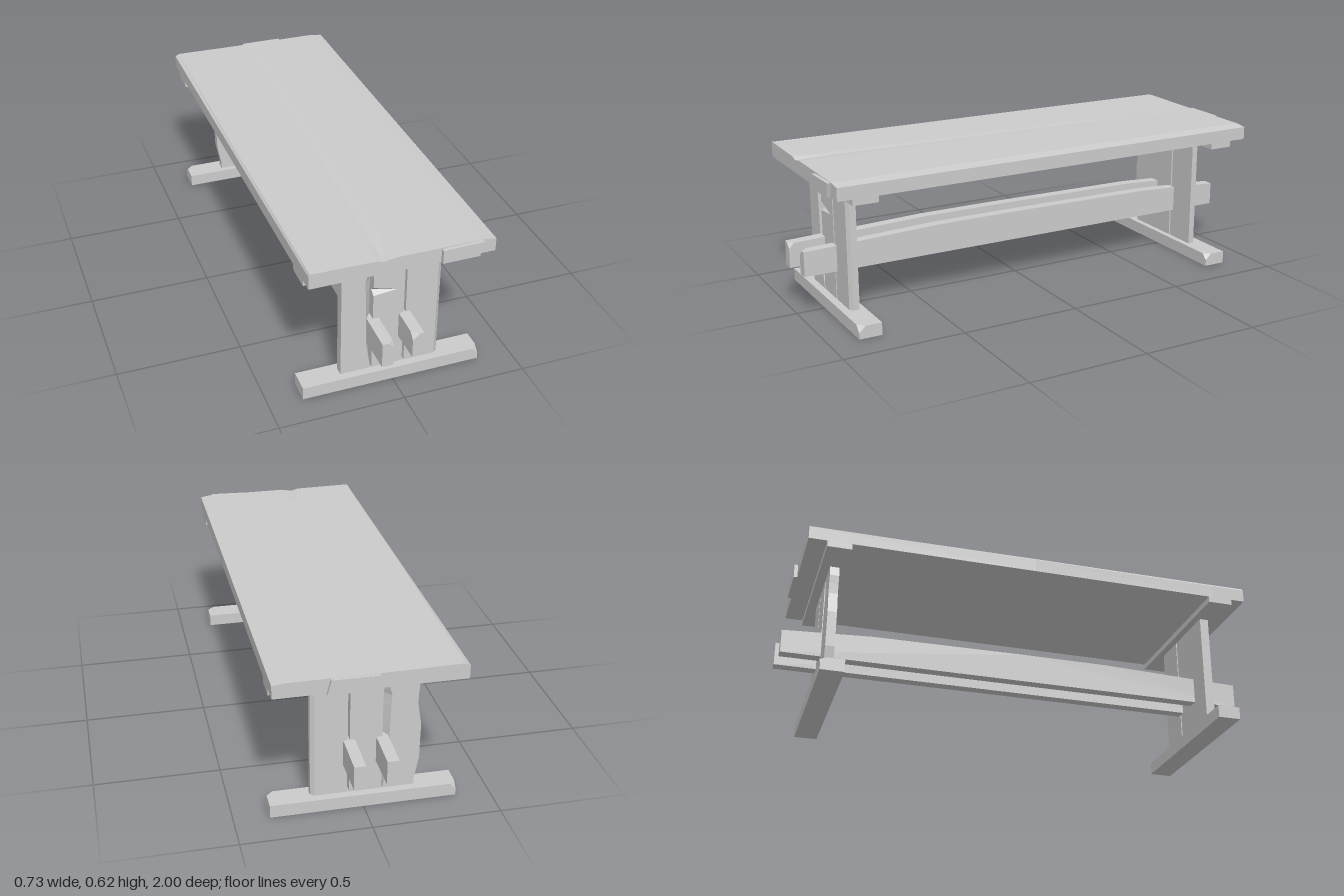
import * as THREE from 'three';
import { ConvexGeometry } from 'three/addons/geometries/ConvexGeometry.js';

const wood = new THREE.MeshStandardMaterial({ color: 0xcccccc, flatShading: true });

function part(group, name, geometry) {
  const mesh = new THREE.Mesh(geometry, wood);
  mesh.name = name;
  group.add(mesh);
  return mesh;
}

// Convex timber from its corner points
const hull = (pts) => new ConvexGeometry(pts.map((p) => new THREE.Vector3(...p)));

// Solid skinned over rings of equal point count, faces turned outward
function loft(rings) {
  const tris = [];
  const n = rings[0].length;
  for (let i = 0; i < rings.length - 1; i++) {
    for (let j = 0; j < n; j++) {
      const k = (j + 1) % n;
      const a = rings[i][j], b = rings[i][k], c = rings[i + 1][k], d = rings[i + 1][j];
      tris.push([a, b, c], [a, c, d]);
    }
  }
  const last = rings[rings.length - 1];
  for (let j = 1; j < n - 1; j++) {
    tris.push([rings[0][0], rings[0][j + 1], rings[0][j]], [last[0], last[j], last[j + 1]]);
  }
  let volume = 0;
  for (const t of tris) {
    const [a, b, c] = t.map((p) => new THREE.Vector3(...p));
    volume += a.dot(b.cross(c));
  }
  if (volume < 0) tris.forEach((t) => t.reverse());
  const geometry = new THREE.BufferGeometry();
  geometry.setAttribute('position', new THREE.Float32BufferAttribute(tris.flat(2), 3));
  geometry.computeVertexNormals();
  return geometry;
}

// Box given by its limits
function block(x0, x1, y0, y1, z0, z1) {
  return new THREE.BoxGeometry(x1 - x0, y1 - y0, z1 - z0)
    .translate((x0 + x1) / 2, (y0 + y1) / 2, (z0 + z1) / 2);
}

// Box with selected top corners knocked off; chips are [xSide, zSide] pairs
function chippedBlock(x0, x1, y0, y1, z0, z1, chips, size) {
  const pts = [];
  for (const sx of [-1, 1]) for (const sz of [-1, 1]) {
    const x = sx < 0 ? x0 : x1, z = sz < 0 ? z0 : z1;
    pts.push([x, y0, z]);
    if (chips.some(([a, b]) => a === sx && b === sz)) {
      pts.push([x - sx * size, y1, z], [x, y1 - size, z], [x, y1, z - sz * size]);
    } else pts.push([x, y1, z]);
  }
  return hull(pts);
}

// Tabletop: worn left edge, dropped right edge and a dent that fades to the back
function addTabletop(group) {
  const stations = [
    [-0.94, -0.02, 0, -0.347], [0, -0.05, 0.002, -0.355],
    [0.8, -0.075, 0.004, -0.358], [0.945, -0.08, 0.009, -0.36],
  ];
  part(group, 'tabletop', loft(stations.map(([z, dentX, dent, left]) => [
    [-0.365, 0.558, z], [0.362, 0.558, z], [0.362, 0.611, z], [0.31, 0.618, z],
    [dentX + 0.045, 0.618, z], [dentX, 0.618 - dent, z], [dentX - 0.03, 0.618, z],
    [left, 0.621, z], [-0.365, 0.612, z],
  ])));
  // Board ends standing slightly proud of the top
  part(group, 'frontBoardEnd', loft([0.93, 0.96].map((z) => [
    [0.145, 0.558, z], [0.293, 0.558, z], [0.308, 0.617, z], [0.145, 0.613, z],
  ])));
  part(group, 'backBoardEnd', loft([-0.93, -0.955].map((z) => [
    [-0.03, 0.558, z], [0.165, 0.558, z], [0.15, 0.617, z], [-0.03, 0.617, z],
  ])));
}

// Three upright planks; s is +1 for the front leg, -1 for the back leg
function addLeg(group, s) {
  const name = s > 0 ? 'front' : 'back';
  const inner = s > 0 ? 0.81 : 0.79, outer = inner + 0.038;
  const leg = new THREE.Group();
  leg.name = name + 'Leg';
  group.add(leg);

  // Outer-left plank: height, left edge on the back leg, split edge
  const rows = [
    [0.052, -0.205, -0.08], [0.08, -0.205, -0.085], [0.17, -0.222, -0.1],
    [0.32, -0.225, -0.104], [0.41, -0.21, -0.107], [0.455, -0.212, -0.11],
    [0.49, -0.215, -0.1], [0.533, -0.205, -0.085],
  ];
  part(leg, name + 'RightPlank', loft(rows.map(([y, bulge, split]) => {
    const left = s > 0 ? -0.203 : bulge;
    return [[left, y, s * inner], [-0.076, y, s * inner],
      [split, y, s * outer], [left, y, s * outer]];
  })));

  // Middle plank with a splinter notch in the outer face of the front leg
  const depth = s > 0 ? 0.025 : 0;
  const notch = [[0.052, 0.052, 0], [0.39, 0.4, 0], [0.406, 0.402, depth],
    [0.428, 0.404, 0], [0.533, 0.533, 0]];
  part(leg, name + 'MiddlePlank', loft(notch.map(([y, tipY, d]) => [
    [-0.076, y, s * inner], [0.05, tipY, s * inner], [0.05, tipY, s * outer],
    [0.02, tipY, s * outer], [-0.076, y, s * (outer - d)],
  ])));

  // Left plank with an eased outer edge
  part(leg, name + 'LeftPlank', loft([0.052, 0.533].map((y) => [
    [0.058, y, s * inner], [0.2, y, s * inner], [0.2, y, s * (outer - 0.012)],
    [0.185, y, s * outer], [0.058, y, s * outer],
  ])));
}

// Long stretcher with a bowed top and one chipped front corner
function addStretcher(group, name, x0, x1, z0, z1, chipSide, chip) {
  const bow = [[z0, 0.274], [-0.62, 0.294], [0.05, 0.3], [0.4, 0.3], [0.8, 0.285], [z1, 0.28]];
  const pts = [];
  for (const side of [-1, 1]) {
    const x = side < 0 ? x0 : x1;
    pts.push([x, 0.177, z0], [x, 0.177, z1]);
    bow.forEach(([z, y], i) => {
      if (i === bow.length - 1 && side === chipSide) {
        pts.push([x - side * chip, y, z], [x, y - chip, z], [x, y, z - chip]);
      } else pts.push([x, y, z]);
    });
  }
  part(group, name, hull(pts));
}

export function createModel() {
  const table = new THREE.Group();
  table.name = 'trestleTable';

  addTabletop(table);
  addLeg(table, 1);
  addLeg(table, -1);

  // Cleats under the top and feet on the ground
  part(table, 'frontCleat', block(-0.365, 0.362, 0.533, 0.558, 0.78, 0.885));
  part(table, 'backCleat', block(-0.365, 0.362, 0.533, 0.558, -0.865, -0.765));
  part(table, 'frontFoot',
    chippedBlock(-0.365, 0.362, 0, 0.052, 0.785, 0.88, [[1, 1]], 0.027));
  part(table, 'backFoot',
    chippedBlock(-0.365, 0.362, 0, 0.052, -0.86, -0.765, [[-1, -1], [1, 1]], 0.025));

  addStretcher(table, 'rightStretcher', -0.098, -0.052, -0.99, 1, 1, 0.022);
  addStretcher(table, 'leftStretcher', 0.03, 0.075, -1, 0.985, -1, 0.025);
  return table;
}
